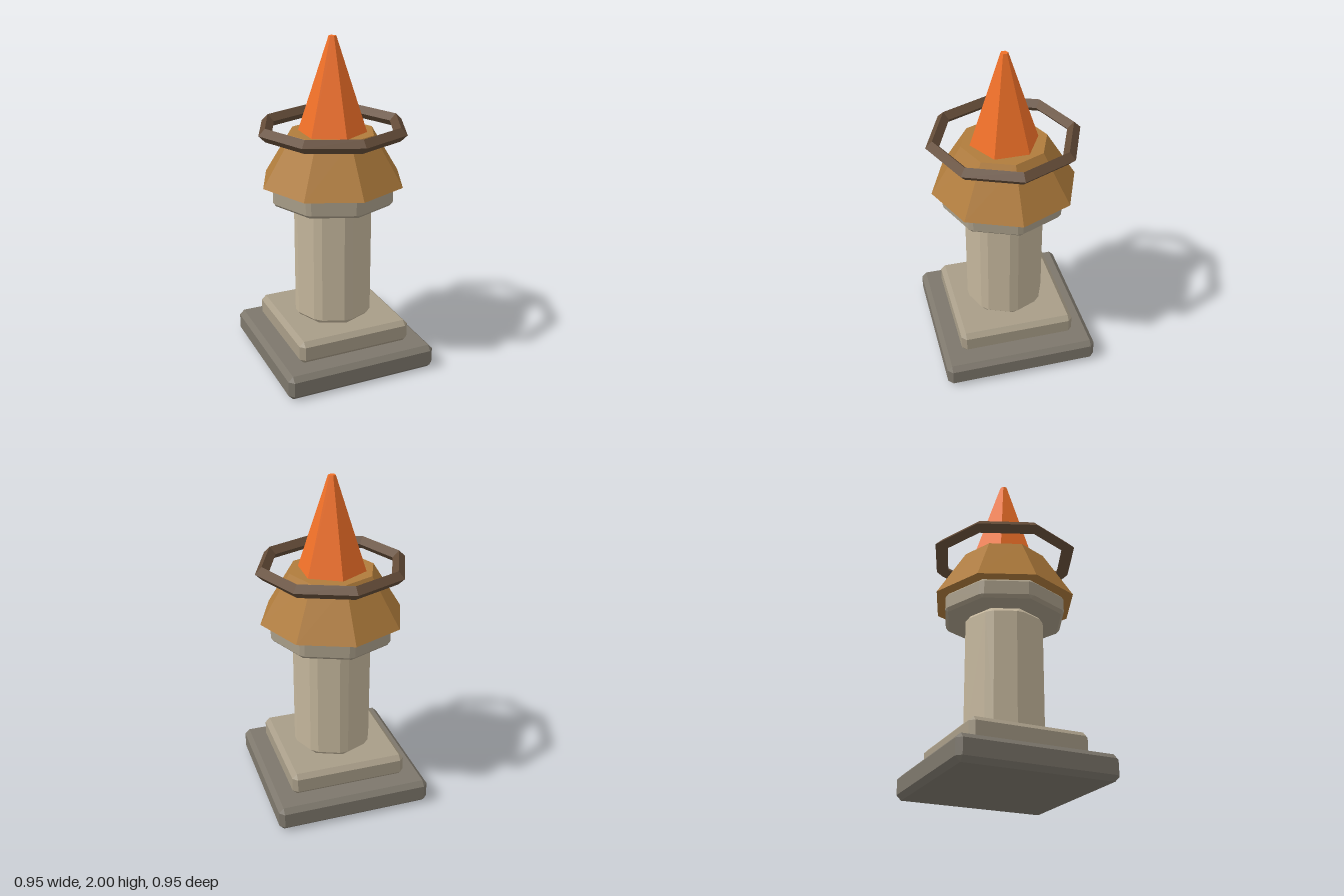
import * as THREE from 'three';
import { ConvexGeometry } from 'three/addons/geometries/ConvexGeometry.js';

const material = (color) => new THREE.MeshStandardMaterial({ color, flatShading: true });

// Regular prism with every edge chamfered by b; r is the corner radius before chamfering
function chamferedPrism(sides, r, y0, y1, b, turn = 0) {
  const corner = (i) => {
    const a = turn + (i / sides) * Math.PI * 2;
    return new THREE.Vector3(Math.sin(a), 0, Math.cos(a)).multiplyScalar(r);
  };
  const inset = 1 - b / (r * Math.cos(Math.PI / sides));
  const points = [];
  for (let i = 0; i < sides; i++) {
    const c = corner(i);
    for (const y of [y0, y1]) points.push(c.clone().multiplyScalar(inset).setY(y));
    for (const next of [corner(i - 1), corner(i + 1)]) {
      const p = c.clone().add(next.sub(c).setLength(b));
      for (const y of [y0 + b, y1 - b]) points.push(p.clone().setY(y));
    }
  }
  return new ConvexGeometry(points);
}

// Square slab given by its half width
const slab = (half, y0, y1, b) => chamferedPrism(4, half * Math.SQRT2, y0, y1, b, Math.PI / 4);

// Straight-sided taper standing between two heights
function taper(rTop, rBottom, y0, y1, sides) {
  return new THREE.CylinderGeometry(rTop, rBottom, y1 - y0, sides).translate(0, (y0 + y1) / 2, 0);
}

export function createModel() {
  const model = new THREE.Group();
  model.name = 'brazierPillar';
  const add = (name, geometry, color) => {
    const mesh = new THREE.Mesh(geometry, material(color));
    mesh.name = name;
    model.add(mesh);
  };

  // Stepped square foot
  add('basePlinth', slab(0.473, 0, 0.15, 0.029), 0x7d776c);
  add('upperPlinth', slab(0.356, 0.15, 0.29, 0.028), 0xa89d88);

  // Octagonal shaft and collar
  add('column', chamferedPrism(8, 0.249, 0.29, 1.03, 0.029), 0xc4b69c);
  add('collar', chamferedPrism(8, 0.38, 1.03, 1.148, 0.018), 0xa89d88);

  // Flared bowl with the flame on top
  add('bowl', taper(0.256, 0.437, 1.148, 1.445, 8), 0xb07c3c);
  add('flame', taper(0.022, 0.203, 1.445, 2, 6), 0xf07028);

  // Floating octagonal hoop of diamond section
  const hoop = new THREE.TorusGeometry(0.416, 0.04, 4, 8).rotateX(Math.PI / 2).translate(0, 1.466, 0);
  add('hoop', hoop, 0x644c38);

  return model;
}
